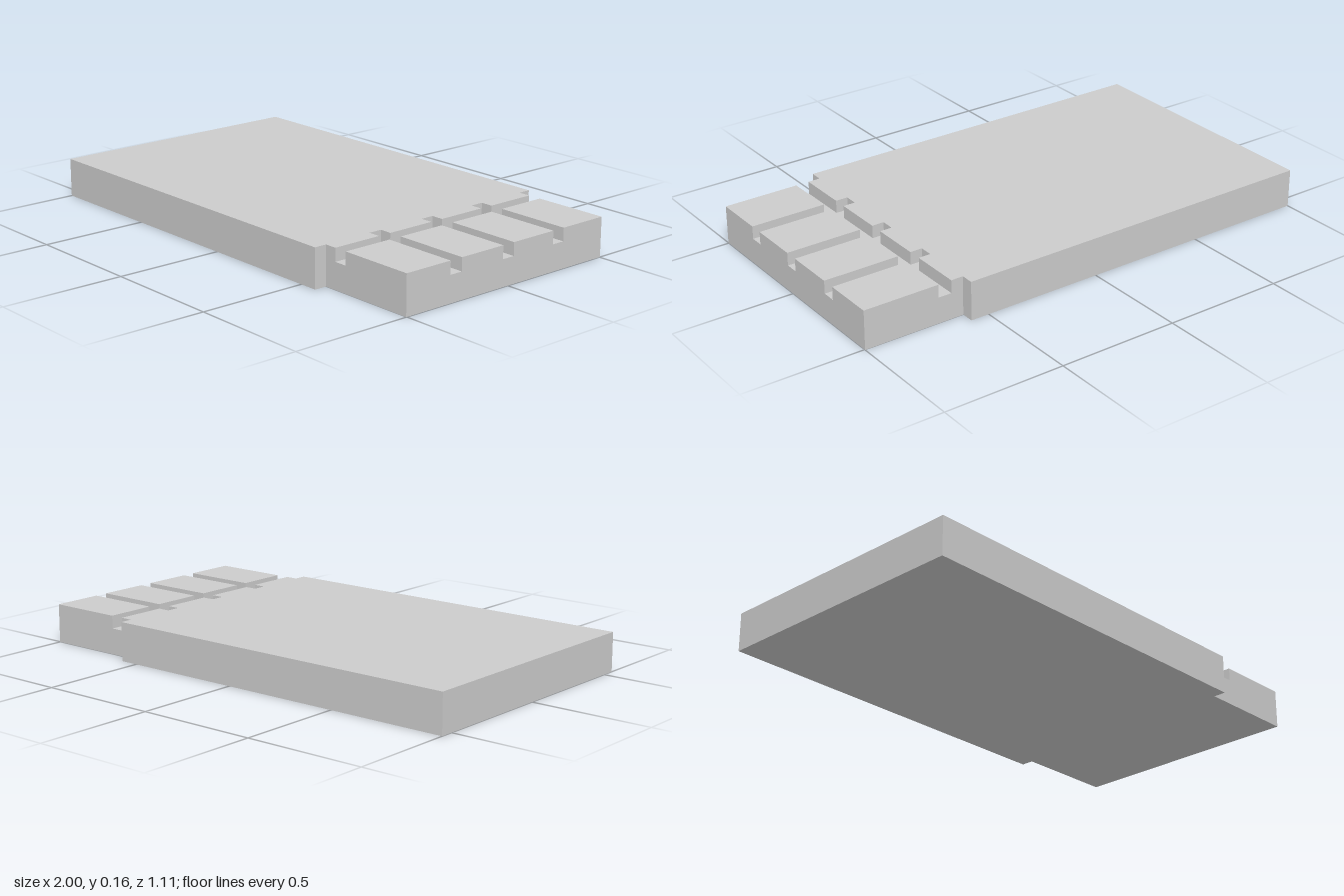
import * as THREE from 'three';

const material = new THREE.MeshStandardMaterial({ color: 0xcccccc, flatShading: true });

const FLOOR = 0.107, TOP = 0.16;            // groove floor and top surface
const SHOULDER = 0.577, END = 1;            // where the plate narrows, and its end
const CROSS_START = 0.628, CROSS_END = 0.684; // cross groove
const WIDE = 0.555, NARROW = 0.503;         // half widths
const HALF_GROOVE = 0.028;
const GROOVES = [-0.264, 0, 0.264];         // long groove centres

// Extrude an outline in plan upwards from y0 to y1
function slab(name, points, y0, y1) {
  const shape = new THREE.Shape(points.map(([x, z]) => new THREE.Vector2(x, -z)));
  const geometry = new THREE.ExtrudeGeometry(shape, { depth: y1 - y0, bevelEnabled: false });
  geometry.rotateX(-Math.PI / 2).translate(0, y0, 0);
  const mesh = new THREE.Mesh(geometry, material);
  mesh.name = name;
  return mesh;
}

export function createModel() {
  const model = new THREE.Group();
  model.name = 'groovedPlate';

  // Lower layer: full stepped outline, its top is the groove floor
  model.add(slab('base', [
    [-1, WIDE], [SHOULDER, WIDE], [SHOULDER, NARROW], [END, NARROW],
    [END, -NARROW], [SHOULDER, -NARROW], [SHOULDER, -WIDE], [-1, -WIDE],
  ], 0, FLOOR));

  // Upper layer: main plate with the short blind ends of the long grooves
  const outline = [[-1, -WIDE], [-1, WIDE], [SHOULDER, WIDE], [SHOULDER, NARROW], [CROSS_START, NARROW]];
  for (const z of [...GROOVES].reverse()) {
    outline.push(
      [CROSS_START, z + HALF_GROOVE], [SHOULDER, z + HALF_GROOVE],
      [SHOULDER, z - HALF_GROOVE], [CROSS_START, z - HALF_GROOVE]);
  }
  outline.push([CROSS_START, -NARROW], [SHOULDER, -NARROW], [SHOULDER, -WIDE]);
  model.add(slab('mainPlate', outline, FLOOR, TOP));

  // Raised pads between the grooves
  const pads = new THREE.Group();
  pads.name = 'pads';
  for (let i = 0; i <= GROOVES.length; i++) {
    const z0 = i === 0 ? -NARROW : GROOVES[i - 1] + HALF_GROOVE;
    const z1 = i === GROOVES.length ? NARROW : GROOVES[i] - HALF_GROOVE;
    pads.add(slab('pad', [[CROSS_END, z1], [END, z1], [END, z0], [CROSS_END, z0]], FLOOR, TOP));
  }
  model.add(pads);
  return model;
}
